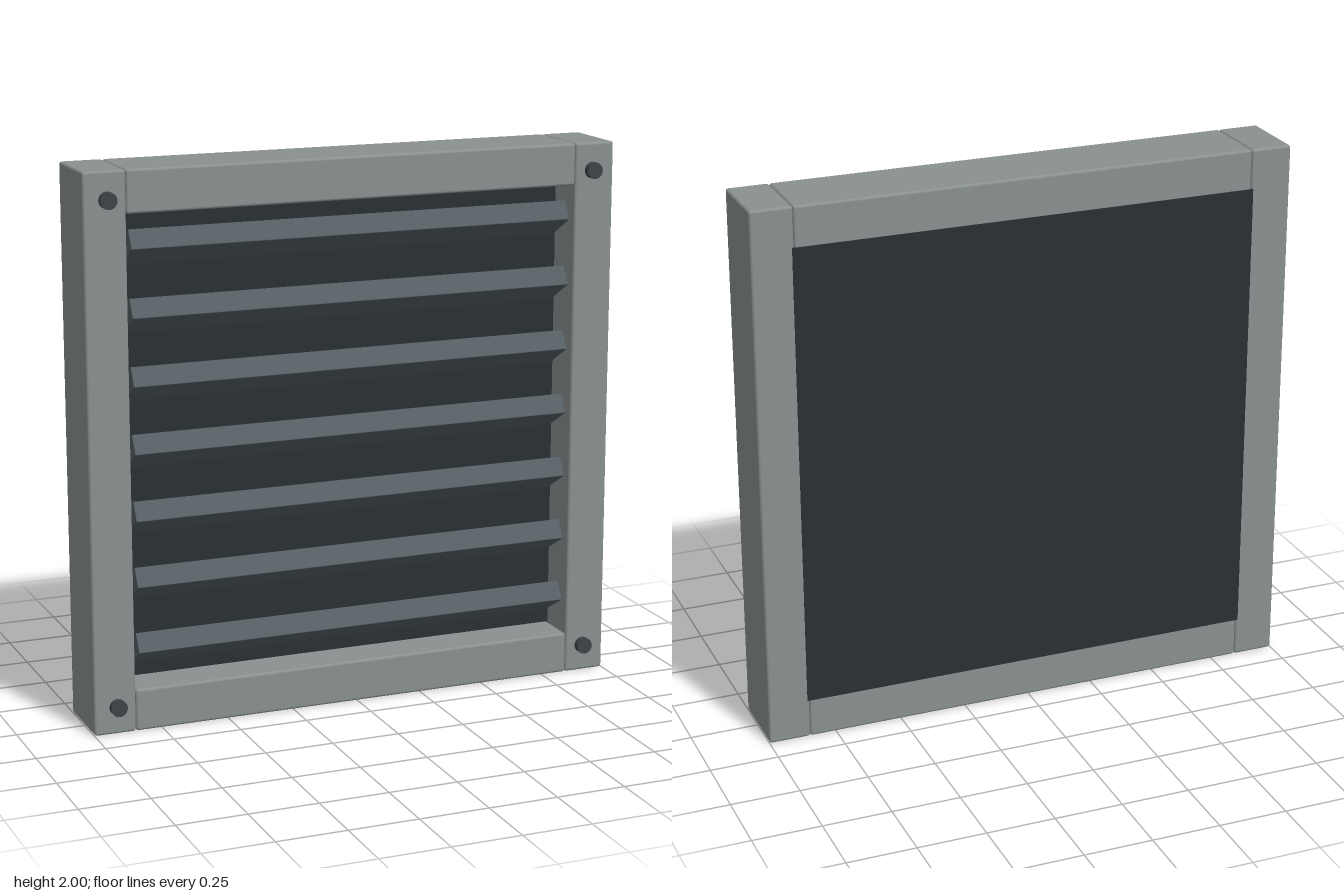
import * as THREE from 'three';
import { RoundedBoxGeometry } from 'three/addons/geometries/RoundedBoxGeometry.js';

const material = (color) => new THREE.MeshStandardMaterial({ color });

export function createModel() {
  const model = new THREE.Group();
  model.name = 'louverVent';

  const frameMat = material(0x8a9191);
  const slatMat = material(0x566064);
  const panelMat = material(0x2a2f33);
  const screwMat = material(0x3e4447);

  const add = (name, geometry, mat, x, y, z) => {
    const mesh = new THREE.Mesh(geometry, mat);
    mesh.name = name;
    mesh.position.set(x, y, z);
    model.add(mesh);
    return mesh;
  };

  // Frame: two full-height stiles with two rails between them
  const depth = 0.275, frameZ = -0.0125, border = 0.153, bevel = 0.01;
  const stile = new RoundedBoxGeometry(border, 2, depth, 2, bevel);
  const rail = new RoundedBoxGeometry(2 - 2 * border, border, depth, 2, bevel);
  add('leftStile', stile, frameMat, 1 - border / 2, 1, frameZ);
  add('rightStile', stile, frameMat, -1 + border / 2, 1, frameZ);
  add('topRail', rail, frameMat, 0, 2 - border / 2, frameZ);
  add('bottomRail', rail, frameMat, 0, border / 2, frameZ);

  // Dark backing panel, flush with the back of the frame
  add('backPanel', new THREE.BoxGeometry(1.71, 1.71, 0.121), panelMat, 0, 1, -0.0905);

  // Seven tilted slats, front edges raised
  const slat = new RoundedBoxGeometry(1.66, 0.075, 0.15, 1, 0.003);
  for (let i = 0; i < 7; i++) {
    add(`slat${i + 1}`, slat, slatMat, 0, 0.28 + i * 0.24, 0.037).rotation.x = -Math.PI / 6;
  }

  // Screw heads in the four corners
  const screw = new THREE.CylinderGeometry(0.03, 0.03, 0.04, 24);
  screw.rotateX(Math.PI / 2);
  for (const x of [-0.915, 0.915]) {
    for (const y of [0.1, 1.9]) add('screw', screw, screwMat, x, y, 0.13);
  }

  return model;
}
